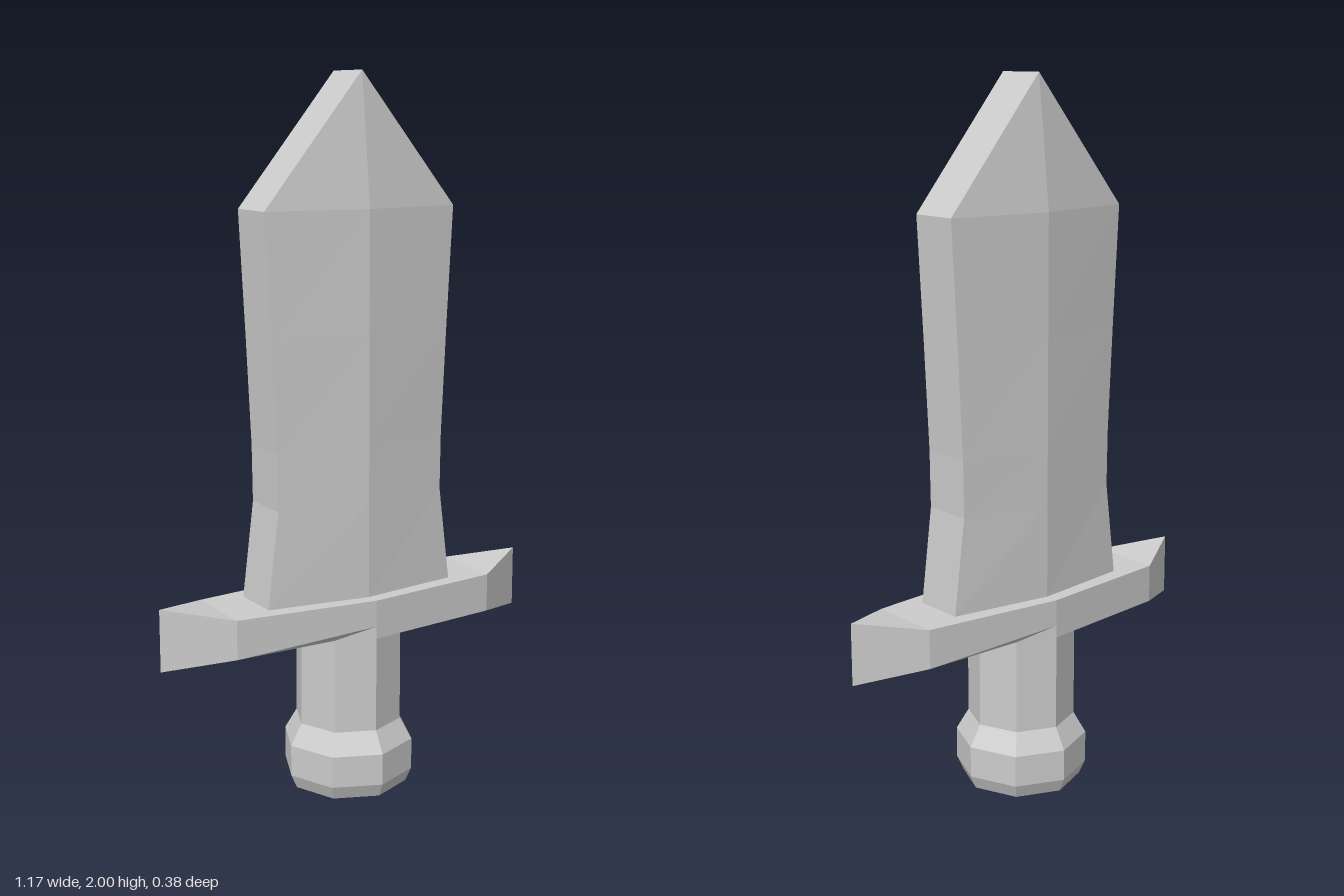
import * as THREE from 'three';

const material = new THREE.MeshStandardMaterial({ color: 0xcccccc, flatShading: true });

// Skin a stack of rings (bottom to top, points running from +x towards +z).
function loft(name, rings, { bottom = false, top = false } = {}) {
  const positions = [];
  const tri = (a, b, c) => {
    const area = new THREE.Triangle(a, b, c).getArea();
    if (area > 1e-7) [a, b, c].forEach(p => positions.push(p.x, p.y, p.z));
  };
  const n = rings[0].length;
  const centre = ring => ring.reduce((s, p) => s.add(p), new THREE.Vector3()).divideScalar(n);
  const first = rings[0], last = rings[rings.length - 1];
  for (let j = 0; j < n; j++) {
    const k = (j + 1) % n;
    for (let i = 0; i < rings.length - 1; i++) {
      const lo = rings[i], hi = rings[i + 1];
      tri(lo[j], hi[j], lo[k]);
      tri(lo[k], hi[j], hi[k]);
    }
    if (bottom) tri(centre(first), first[j], first[k]);
    if (top) tri(centre(last), last[k], last[j]);
  }
  const geometry = new THREE.BufferGeometry();
  geometry.setAttribute('position', new THREE.Float32BufferAttribute(positions, 3));
  geometry.computeVertexNormals();
  const mesh = new THREE.Mesh(geometry, material);
  mesh.name = name;
  return mesh;
}

const v = (x, y, z) => new THREE.Vector3(x, y, z);

const octagon = (r, y) => Array.from({ length: 8 }, (_, i) => {
  const a = i * Math.PI / 4;
  return v(r * Math.cos(a), y, r * Math.sin(a));
});

// Eight-point guard outline, with a height for its tips, shoulders and middle.
const guardRing = (tipX, tipY, shoulderY, midY) => [
  v(tipX, tipY, 0), v(0.41, shoulderY, 0.108), v(0, midY, 0.153), v(-0.41, shoulderY, 0.108),
  v(-tipX, tipY, 0), v(-0.41, shoulderY, -0.108), v(0, midY, -0.153), v(0.41, shoulderY, -0.108),
];

// Six-sided blade section: flat side edges and a central ridge front and back.
const bladeRing = (w, y, ridge = 0.113, edge = 0.073) => [
  v(w, y, edge), v(0, y, ridge), v(-w, y, edge),
  v(-w, y, -edge), v(0, y, -ridge), v(w, y, -edge),
];

export function createModel() {
  const sword = new THREE.Group();
  sword.name = 'sword';

  sword.add(loft('pommel', [
    octagon(0.17, 0), octagon(0.188, 0.04), octagon(0.188, 0.13), octagon(0.153, 0.19),
  ], { bottom: true }));

  sword.add(loft('grip', [octagon(0.153, 0.19), octagon(0.153, 0.46)]));

  // The underside spreads from the grip; the tips flare up and down.
  sword.add(loft('crossguard', [
    octagon(0.153, 0.46),
    guardRing(0.585, 0.425, 0.46, 0.495),
    guardRing(0.585, 0.6, 0.57, 0.57),
    guardRing(0.41, 0.57, 0.57, 0.57),
  ], { top: true }));

  // Waisted blade ending in a chisel point.
  sword.add(loft('blade', [
    bladeRing(0.296, 0.57), bladeRing(0.262, 0.84), bladeRing(0.264, 1.0),
    bladeRing(0.278, 1.3), bladeRing(0.296, 1.64), bladeRing(0, 2, 0.073),
  ]));

  return sword;
}
